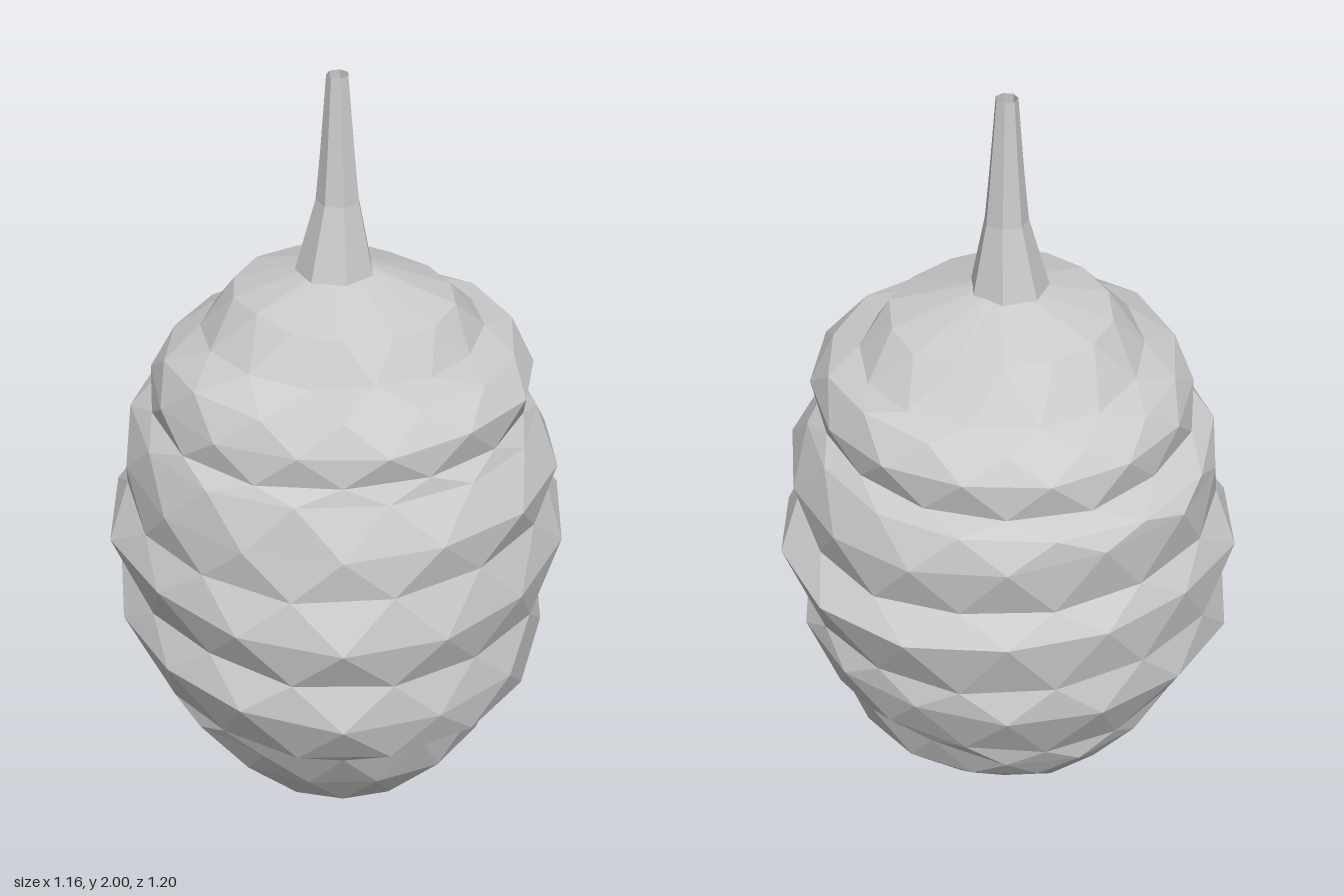
import * as THREE from 'three';

const material = new THREE.MeshStandardMaterial({ color: 0xcccccc, flatShading: true });
const openMaterial = material.clone();
openMaterial.side = THREE.DoubleSide;

// Small seeded random, -1..1
function seeded(seed) {
  let s = seed;
  return () => {
    s = (s * 16807) % 2147483647;
    return (s / 2147483647) * 2 - 1;
  };
}

// Skin a stack of rings; point(row, column) returns a Vector3, rows run upward on the outside
function skin(rows, cols, point) {
  const positions = [];
  const index = [];
  for (let j = 0; j < rows; j++) {
    for (let i = 0; i < cols; i++) positions.push(...point(j, i).toArray());
  }
  for (let j = 0; j < rows - 1; j++) {
    for (let i = 0; i < cols; i++) {
      const n = (i + 1) % cols;
      const a = j * cols + i, b = j * cols + n;
      const c = a + cols, d = b + cols;
      // Staggered rows need alternating diagonals
      if (j % 2 === 0) index.push(a, b, c, b, d, c);
      else index.push(a, d, c, a, b, d);
    }
  }
  const geometry = new THREE.BufferGeometry();
  geometry.setAttribute('position', new THREE.Float32BufferAttribute(positions, 3));
  geometry.setIndex(index);
  const flat = geometry.toNonIndexed();
  flat.computeVertexNormals();
  return flat;
}

// Entrance in the underside, from its roof down to the rim: [height, radius]
const entrance = [[0.45, 0.01], [0.42, 0.16], [0.13, 0.19], [0.075, 0.235]];

// Uneven bands, bottom to top: heights and radii toward the front, left, back and right
const bands = [
  { y: [0.005, 0.01, 0.09, 0.09], r: [0.29, 0.28, 0.26, 0.29] },
  { y: [0.14, 0.15, 0.22, 0.18], r: [0.4, 0.4, 0.4, 0.38] },
  { y: [0.26, 0.31, 0.34, 0.26], r: [0.475, 0.455, 0.44, 0.44] },
  { y: [0.31, 0.355, 0.39, 0.33], r: [0.49, 0.53, 0.48, 0.465] },
  { y: [0.5, 0.46, 0.52, 0.51], r: [0.575, 0.55, 0.53, 0.565] },
  { y: [0.59, 0.58, 0.59, 0.63], r: [0.54, 0.54, 0.51, 0.555] },
  { y: [0.74, 0.72, 0.77, 0.79], r: [0.595, 0.58, 0.59, 0.58] },
  { y: [0.84, 0.86, 0.83, 0.865], r: [0.55, 0.545, 0.52, 0.54] },
  { y: [0.96, 0.97, 0.96, 1.03], r: [0.56, 0.57, 0.545, 0.56] },
  { y: [1.08, 1.09, 1.08, 1.07], r: [0.54, 0.5, 0.5, 0.545] },
  { y: [1.12, 1.13, 1.11, 1.11], r: [0.5, 0.48, 0.455, 0.475] },
  { y: [1.2, 1.22, 1.2, 1.2], r: [0.495, 0.5, 0.48, 0.48] },
  { y: [1.28, 1.29, 1.29, 1.25], r: [0.46, 0.44, 0.44, 0.43] },
  { y: [1.325, 1.32, 1.31, 1.3], r: [0.36, 0.345, 0.37, 0.37] },
  { y: [1.43, 1.41, 1.4, 1.42], r: [0.275, 0.29, 0.275, 0.28] },
  { y: [1.49, 1.49, 1.49, 1.49], r: [0.055, 0.055, 0.055, 0.055] },
];

// Blend four side values smoothly round the hive
function around(values, t) {
  const s = t / (Math.PI / 2);
  const k = Math.floor(s);
  const f = (1 - Math.cos((s - k) * Math.PI)) / 2;
  return values[k % 4] * (1 - f) + values[(k + 1) % 4] * f;
}

function hiveBody() {
  const cols = 14;
  const rand = seeded(4711);
  return skin(entrance.length + bands.length, cols, (j, i) => {
    const t = ((i + (j % 2) * 0.5) / cols) * Math.PI * 2;
    if (j < entrance.length) {
      const [h, r] = entrance[j];
      const x = Math.sin(t) * r - 0.025, z = Math.cos(t) * r - 0.015;
      // The rim slopes down toward the front left
      return new THREE.Vector3(x, h - 0.11 * (x + z) * Math.max(0, 1 - h / 0.3), z);
    }
    const band = bands[j - entrance.length];
    const jitter = j === entrance.length + bands.length - 1 ? 0 : 0.007;
    const h = around(band.y, t);
    // The two front quarters swell around the middle
    const swell = Math.cos(t) > 0 && h > 0.2 && h < 1
      ? 0.045 * Math.sin(2 * t) ** 2 * Math.sin(((h - 0.2) / 0.8) * Math.PI) : 0;
    const r = around(band.r, t) * 1.01 + swell + rand() * jitter;
    const y = Math.max(0, h + rand() * jitter);
    return new THREE.Vector3(Math.sin(t) * r, y, Math.cos(t) * r);
  });
}

// Stem: [height, radius, x, z]
const stemProfile = [
  [1.48, 0.102, -0.005, 0.02], [1.67, 0.056, -0.003, 0.012],
  [1.8, 0.044, -0.003, 0.012], [2, 0.028, -0.004, 0.012],
];

function stem() {
  const cols = 7;
  return skin(stemProfile.length, cols, (j, i) => {
    const [y, r, x, z] = stemProfile[j];
    const t = ((i + 0.3) / cols) * Math.PI * 2;
    return new THREE.Vector3(x + Math.sin(t) * r, y, z + Math.cos(t) * r);
  });
}

export function createModel() {
  const group = new THREE.Group();
  group.name = 'hive';
  const parts = [
    ['bandedBodyWithEntrance', hiveBody(), material],
    ['hangingStem', stem(), openMaterial],
  ];
  for (const [name, geometry, mat] of parts) {
    const mesh = new THREE.Mesh(geometry, mat);
    mesh.name = name;
    group.add(mesh);
  }
  return group;
}
